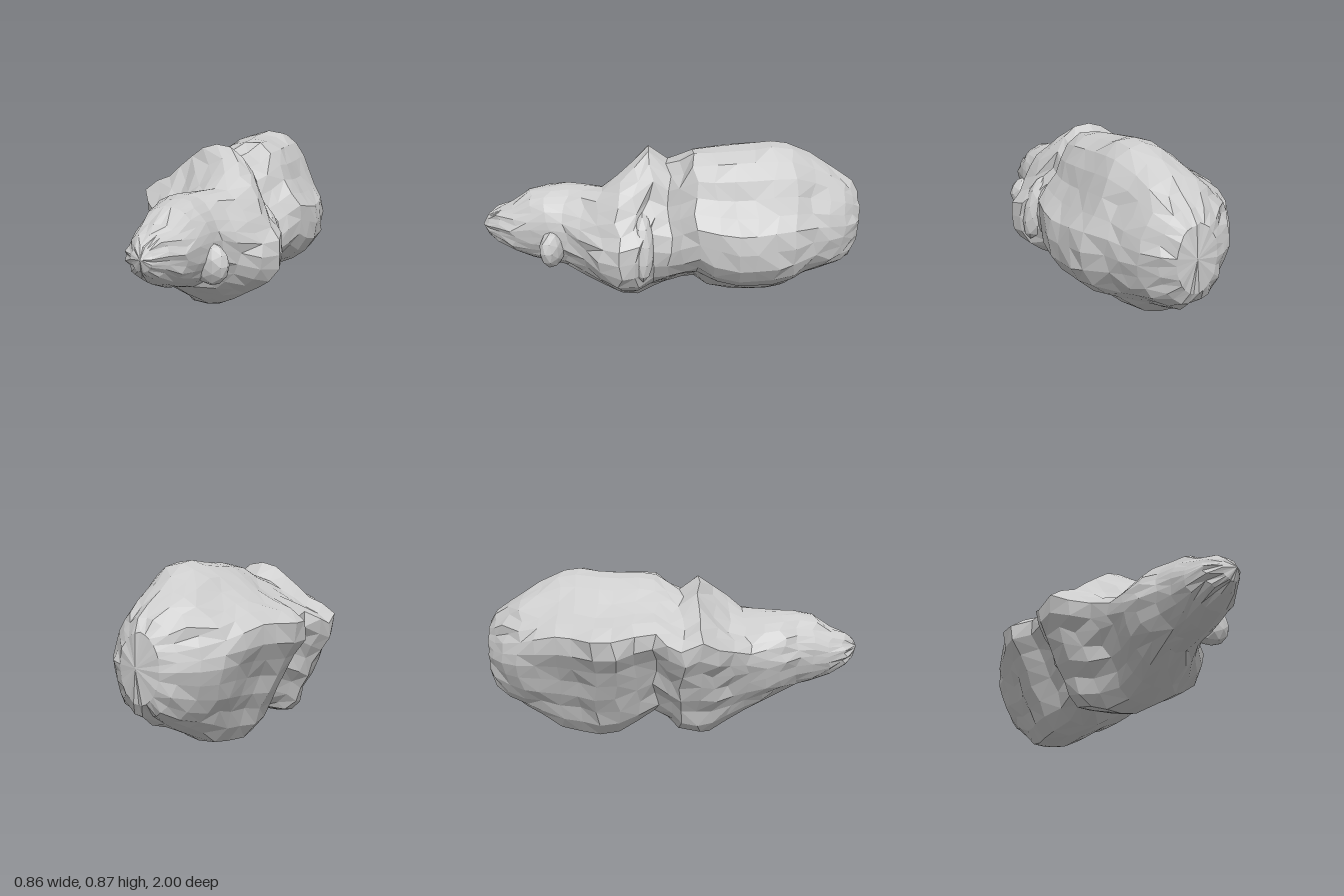
import * as THREE from 'three';

// Cross-section outline in a unit box, counter-clockwise seen from the front
const OUTLINE = [
  [0.06, 0.87], [-0.1, 0.8], [-0.25, 0.69], [-0.37, 0.64], [-0.425, 0.59], [-0.42, 0.5],
  [-0.34, 0.38], [-0.31, 0.28], [-0.23, 0.15], [-0.21, 0.08], [-0.16, 0.02], [-0.06, 0],
  [0.04, 0.02], [0.2, 0.11], [0.32, 0.17], [0.41, 0.28], [0.425, 0.38], [0.41, 0.48],
  [0.32, 0.6], [0.29, 0.7], [0.2, 0.83],
];

// Whorls from back to front: z, xMin, xMax, yMin, yMax
const SECTIONS = [
  [-0.985, -0.06, 0.14, 0.28, 0.59],
  [-0.94, -0.12, 0.2, 0.22, 0.65],
  [-0.87, -0.2, 0.26, 0.17, 0.7],
  [-0.79, -0.27, 0.3, 0.13, 0.75],
  [-0.7, -0.31, 0.33, 0.09, 0.8],
  [-0.6, -0.34, 0.39, 0.03, 0.86],
  [-0.5, -0.37, 0.41, 0.01, 0.87],
  [-0.4, -0.42, 0.42, 0, 0.86],
  [-0.3, -0.42, 0.425, 0.01, 0.855],
  [-0.2, -0.35, 0.42, 0.05, 0.85],
  [-0.1, -0.34, 0.4, 0.11, 0.84],
  [-0.03, -0.4, 0.36, 0.08, 0.79],
  [0.03, -0.425, 0.32, 0.04, 0.77],
  [0.12, -0.41, 0.32, 0.01, 0.84],
  [0.2, -0.35, 0.39, 0, 0.77],
  [0.29, -0.27, 0.41, 0.03, 0.71],
  [0.38, -0.23, 0.35, 0.09, 0.65],
  [0.47, -0.21, 0.27, 0.14, 0.65],
  [0.56, -0.19, 0.22, 0.2, 0.645],
  [0.65, -0.14, 0.21, 0.23, 0.64],
  [0.74, -0.12, 0.19, 0.25, 0.62],
  [0.83, -0.11, 0.17, 0.29, 0.56],
  [0.91, -0.08, 0.13, 0.34, 0.53],
  [0.97, -0.02, 0.08, 0.38, 0.49],
];

const SIDES = 28;

// Repeatable noise in -1..1
function noise(i, j) {
  const s = Math.sin(i * 127.1 + j * 311.7) * 43758.5453;
  return (s - Math.floor(s)) * 2 - 1;
}

function shellGeometry() {
  const curve = new THREE.CatmullRomCurve3(
    OUTLINE.map(([x, y]) => new THREE.Vector3(x / 0.425, (y - 0.435) / 0.435, 0)), true);
  const unit = curve.getSpacedPoints(SIDES).slice(0, SIDES);
  const positions = [];
  const index = [];

  SECTIONS.forEach(([z, x0, x1, y0, y1], i) => {
    // The two ends become rounder than the knobbed middle
    const round = Math.max(
      THREE.MathUtils.smoothstep(z, 0.25, 0.6),
      THREE.MathUtils.smoothstep(-z, 0.55, 0.95));
    const edge = i === 0 || i === SECTIONS.length - 1 ? 0.3 : 1;
    unit.forEach((p, j) => {
      const len = Math.hypot(p.x, p.y);
      const x = THREE.MathUtils.lerp(p.x, p.x / len, round);
      const y = THREE.MathUtils.lerp(p.y, p.y / len, round);
      const swell = 1 + 0.018 * noise(i, j);
      positions.push(
        (x0 + x1) / 2 + x * swell * (x1 - x0) / 2,
        Math.max(0, (y0 + y1) / 2 + y * swell * (y1 - y0) / 2),
        z + 0.018 * edge * noise(j + 40, i));
    });
  });

  const rings = SECTIONS.length;
  for (let i = 0; i < rings - 1; i++) {
    for (let j = 0; j < SIDES; j++) {
      const k = (j + 1) % SIDES;
      const a = i * SIDES + j, b = i * SIDES + k;
      const c = b + SIDES, d = a + SIDES;
      // Alternate the diagonals for an irregular, rocky faceting
      if (noise(i, j + 90) > 0) index.push(a, b, c, a, c, d);
      else index.push(a, b, d, b, c, d);
    }
  }

  // Blunt back and pointed front
  const back = rings * SIDES, front = back + 1, last = (rings - 1) * SIDES;
  positions.push(0.05, 0.44, -1, 0.04, 0.44, 1);
  for (let j = 0; j < SIDES; j++) {
    const k = (j + 1) % SIDES;
    index.push(back, k, j, front, last + j, last + k);
  }

  const geometry = new THREE.BufferGeometry();
  geometry.setAttribute('position', new THREE.Float32BufferAttribute(positions, 3));
  geometry.setIndex(index);
  geometry.computeVertexNormals();
  return geometry;
}

export function createModel() {
  const group = new THREE.Group();
  group.name = 'spiralShell';
  const material = new THREE.MeshStandardMaterial({ color: 0xcccccc, flatShading: true });

  const add = (name, geometry) => {
    const mesh = new THREE.Mesh(geometry, material);
    mesh.name = name;
    group.add(mesh);
    return mesh;
  };

  add('shellBody', shellGeometry());

  // Small knob beside the spire
  const nodule = add('spireNodule', new THREE.IcosahedronGeometry(1, 1));
  nodule.scale.set(0.1, 0.1, 0.06);
  nodule.position.set(0.19, 0.35, 0.63);
  nodule.rotation.y = -0.3;

  // Raised lip along the seam on the left flank
  const lip = add('seamLip', new THREE.IcosahedronGeometry(1, 1));
  lip.scale.set(0.07, 0.18, 0.06);
  lip.position.set(0.3, 0.39, 0.17);
  lip.rotation.z = 0.25;

  return group;
}
